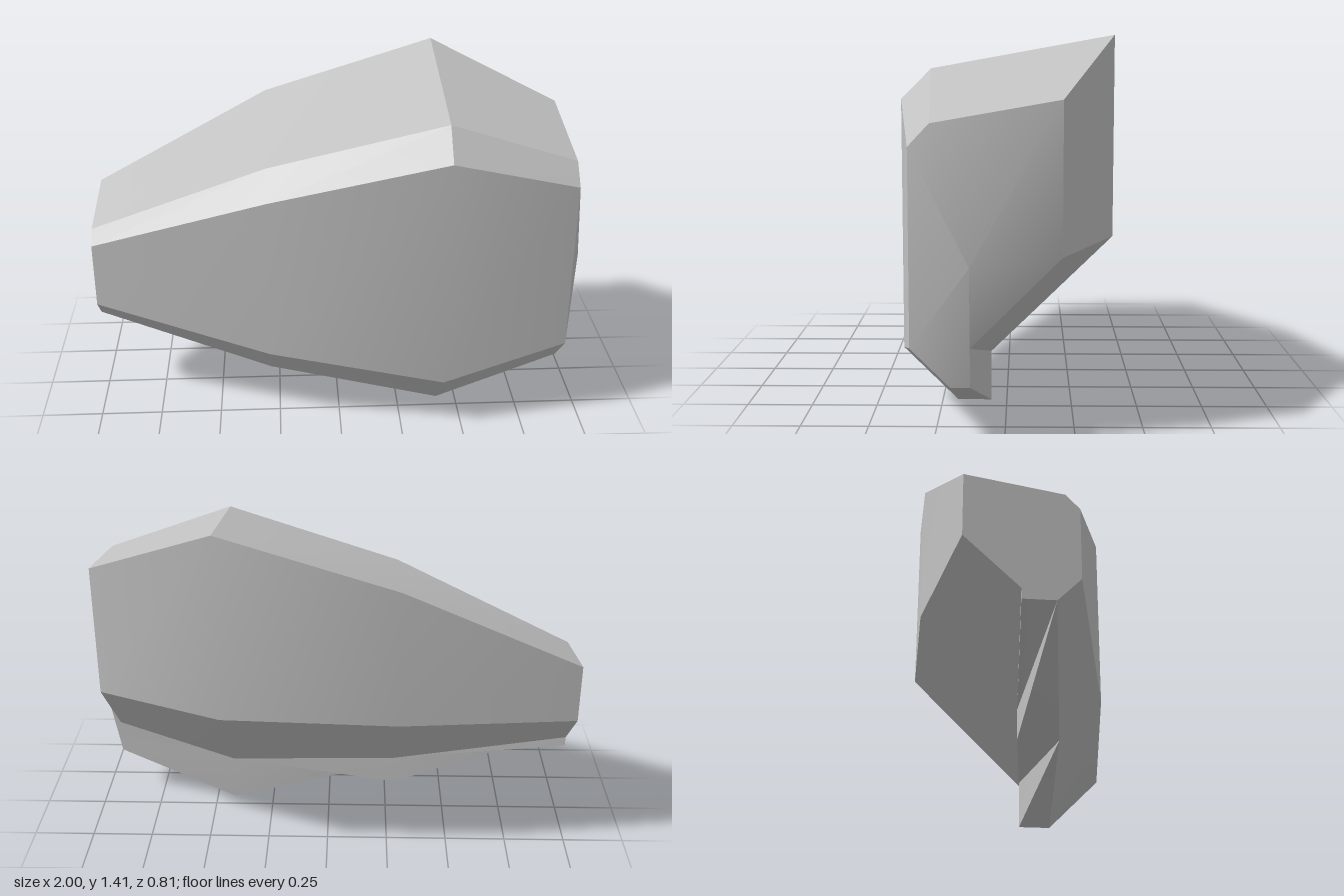
import * as THREE from 'three';
import { toCreasedNormals } from 'three/addons/utils/BufferGeometryUtils.js';

// Eight-sided cross-sections from the blunt end (+x) to the narrow end (-x).
// Each ring of [z, y]: front top, top front, top back, low back,
// keel top, keel back, keel front, front low.
const sections = [
  { x: 0.925, ring: [[0.33, 1.04], [0.255, 1.12], [-0.2, 1.2], [-0.2, 0.66], [0.12, 0.34], [0.12, 0.2], [0.19, 0.2], [0.33, 0.34]] },
  { x: 0.42, ring: [[0.4, 1.175], [0.285, 1.29], [-0.405, 1.415], [-0.405, 0.65], [0.06, 0.195], [0.06, 0], [0.19, 0], [0.4, 0.21]] },
  { x: -0.285, ring: [[0.3, 0.985], [0.2, 1.09], [-0.405, 1.195], [-0.405, 0.63], [-0.025, 0.26], [-0.025, 0.14], [0.135, 0.14], [0.3, 0.305]] },
  { x: -1, ring: [[0.115, 0.725], [0.065, 0.78], [-0.29, 0.84], [-0.29, 0.6], [-0.09, 0.41], [-0.09, 0.37], [0.03, 0.37], [0.115, 0.455]] },
];

export function createModel() {
  const stone = new THREE.MeshStandardMaterial({ color: 0xc2c2c2 });
  const positions = [];
  const tri = (...points) => points.forEach((p) => positions.push(p.x, p.y, p.z));
  const rings = sections.map(({ x, ring }) => ring.map(([z, y]) => new THREE.Vector3(x, y, z)));
  const n = rings[0].length;

  // Sides: bridge neighbouring rings
  for (let i = 0; i < rings.length - 1; i++) {
    const a = rings[i], b = rings[i + 1];
    for (let j = 0; j < n; j++) {
      const k = (j + 1) % n;
      if (i > 0 && j === 4) {
        // Notched keel: the crease runs from the keel top to the next front edge
        tri(a[4], b[5], b[4]);
        tri(a[4], b[6], b[5]);
        tri(a[4], a[5], b[6]);
      } else if (i > 0 && j === 5) {
        tri(a[5], a[6], b[6]);
      } else {
        tri(a[j], a[k], b[j]);
        tri(a[k], b[k], b[j]);
      }
    }
  }

  // Ends: fans about the ring centre, pushed out to a shallow point on the blunt end
  const cap = (ring, x, flip) => {
    const centre = ring.reduce((sum, p) => sum.add(p), new THREE.Vector3()).divideScalar(n);
    centre.x = x;
    ring.forEach((p, j) => {
      const q = ring[(j + 1) % n];
      if (flip) tri(centre, q, p);
      else tri(centre, p, q);
    });
  };
  cap(rings[0], 1, true);
  cap(rings[rings.length - 1], -1, false);

  const geometry = new THREE.BufferGeometry();
  geometry.setAttribute('position', new THREE.Float32BufferAttribute(positions, 3));
  const rock = new THREE.Mesh(toCreasedNormals(geometry, Math.PI / 6), stone);
  rock.name = 'rock';
  stone.name = 'stone';

  const group = new THREE.Group();
  group.name = 'facetedRock';
  group.add(rock);
  return group;
}
